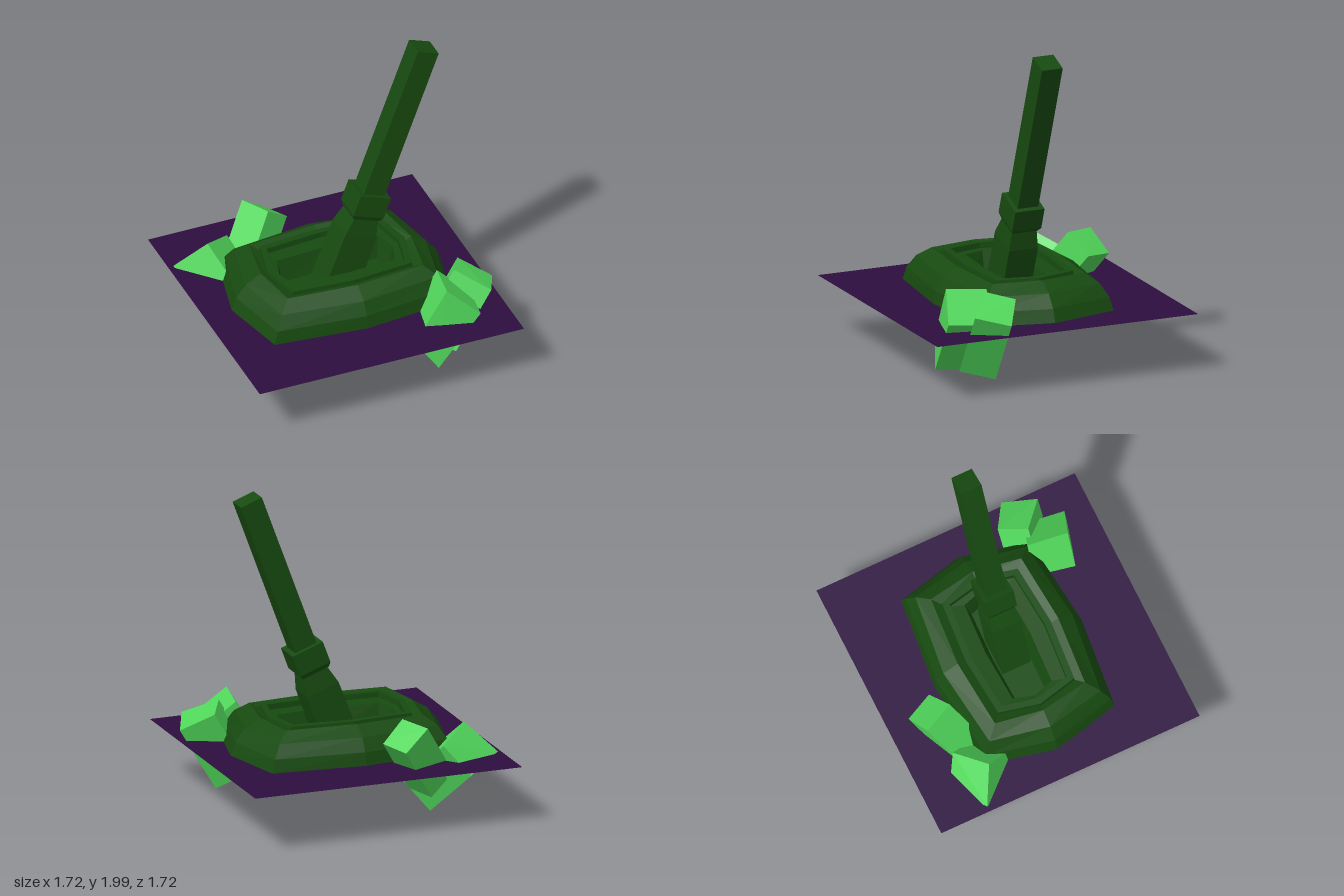
import * as THREE from 'three';
import { ConvexGeometry } from 'three/addons/geometries/ConvexGeometry.js';

const paint = (color) => new THREE.MeshStandardMaterial({ color, flatShading: true, side: THREE.DoubleSide });
const darkGreen = paint(0x174a10);
const crystalGreen = paint(0x50d65a);
const purple = paint(0x2e0e40);

// Skins a stack of equal-sized rings, with optional end caps
function loft(rings, capStart, capEnd) {
  const n = rings[0].length, pos = [], idx = [];
  rings.forEach((r) => r.forEach((p) => pos.push(...p)));
  for (let i = 0; i < rings.length - 1; i++) {
    for (let j = 0; j < n; j++) {
      const a = i * n + j, b = i * n + (j + 1) % n;
      idx.push(a, a + n, b, b, a + n, b + n);
    }
  }
  const last = (rings.length - 1) * n;
  for (let j = 1; j < n - 1; j++) {
    if (capStart) idx.push(0, j, j + 1);
    if (capEnd) idx.push(last, last + j + 1, last + j);
  }
  const g = new THREE.BufferGeometry();
  g.setAttribute('position', new THREE.Float32BufferAttribute(pos, 3));
  g.setIndex(idx);
  const flat = g.toNonIndexed();
  flat.computeVertexNormals();
  return flat;
}

// Bowed rectangle: corners (cx, cz), side midpoints pushed out to mx and mz
const bowedRing = (y, cx, cz, mx, mz) => [
  [mx, y, 0], [cx, y, cz], [0, y, mz], [-cx, y, cz],
  [-mx, y, 0], [-cx, y, -cz], [0, y, -mz], [cx, y, -cz],
];

const boxRing = (y, hx, hz) => [[hx, y, hz], [-hx, y, hz], [-hx, y, -hz], [hx, y, -hz]];

function add(parent, name, geometry, material) {
  const mesh = new THREE.Mesh(geometry, material);
  mesh.name = name;
  parent.add(mesh);
  return mesh;
}

// Skewed block: one quad swept along an offset
function crystal(parent, name, quad, offset) {
  const o = new THREE.Vector3(...offset);
  const near = quad.map((p) => new THREE.Vector3(...p));
  const far = near.map((p) => p.clone().add(o));
  return add(parent, name, new ConvexGeometry([...near, ...far]), crystalGreen);
}

export function createModel() {
  const model = new THREE.Group();

  // Flat square sheet the switch is mounted on
  const sheet = add(model, 'groundSheet', new THREE.PlaneGeometry(1.72, 1.72), purple);
  sheet.rotation.x = -Math.PI / 2;
  sheet.position.y = 0.38;

  // Rounded housing, raised lip, recessed tray and lever slot
  add(model, 'housing', loft([
    bowedRing(0.38, 0.58, 0.43, 0.68, 0.49),
    bowedRing(0.46, 0.555, 0.415, 0.65, 0.475),
    bowedRing(0.54, 0.51, 0.37, 0.585, 0.43),
    bowedRing(0.597, 0.44, 0.3, 0.49, 0.335),
    bowedRing(0.575, 0.39, 0.255, 0.45, 0.287),
    bowedRing(0.6, 0.388, 0.253, 0.447, 0.285),
    bowedRing(0.6, 0.36, 0.215, 0.405, 0.245),
    bowedRing(0.565, 0.358, 0.213, 0.402, 0.242),
    bowedRing(0.56, 0.33, 0.13, 0.37, 0.148),
    bowedRing(0.42, 0.305, 0.095, 0.34, 0.105),
  ], false, true), darkGreen);

  // Tilted lever: foot, collar and shaft along one axis
  const lever = new THREE.Group();
  lever.name = 'lever';
  lever.position.set(0.064, 0.6, 0);
  lever.rotation.z = -0.354;
  model.add(lever);
  add(lever, 'leverFoot', loft([
    boxRing(-0.23, 0.113, 0.095), boxRing(0.165, 0.108, 0.095), boxRing(0.3, 0.075, 0.078),
  ], true, true), darkGreen);
  add(lever, 'leverCollar', loft([
    boxRing(0.28, 0.088, 0.082), boxRing(0.31, 0.104, 0.096), boxRing(0.45, 0.104, 0.096),
  ], true, true), darkGreen);
  add(lever, 'leverShaft', loft([
    boxRing(0.44, 0.072, 0.068), boxRing(1.466, 0.072, 0.068),
  ], true, true), darkGreen);

  // Crystal pairs at two opposite corners
  crystal(model, 'frontInnerCrystal',
    [[0.46, 0.61, 0.62], [0.65, 0.44, 0.69], [0.39, 0.09, 0.66], [0.26, 0.27, 0.6]], [0.04, -0.02, -0.25]);
  crystal(model, 'frontOuterCrystal',
    [[0.86, 0.45, 0.37], [0.77, 0.5, 0.57], [0.59, 0.6, 0.42], [0.68, 0.56, 0.26]], [-0.23, -0.39, 0]);
  crystal(model, 'backOuterCrystal',
    [[-0.83, 0.39, -0.54], [-0.6, 0.3, -0.68], [-0.46, 0.48, -0.59], [-0.65, 0.57, -0.44]], [0.14, -0.29, 0.31]);
  crystal(model, 'backInnerCrystal',
    [[-0.32, 0.635, -0.69], [-0.16, 0.51, -0.74], [-0.08, 0.53, -0.565], [-0.23, 0.65, -0.5]], [-0.23, -0.35, 0.17]);

  return model;
}
